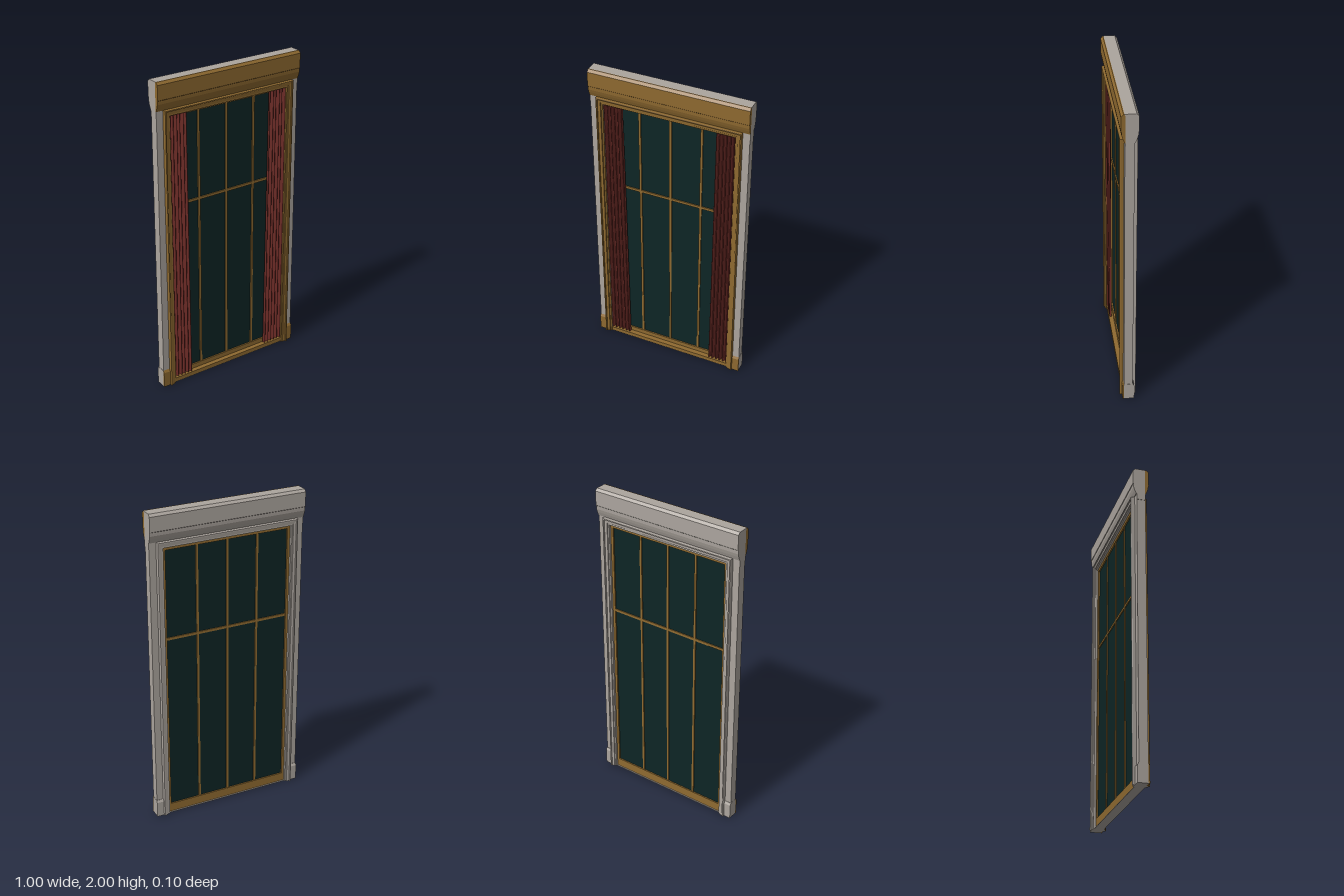
import * as THREE from 'three';

const mat = (name, color, side = THREE.FrontSide) => {
  const m = new THREE.MeshStandardMaterial({ color, side });
  m.name = name;
  return m;
};

export function createModel() {
  const wood = mat('golden wood', 0x8f6a30);
  const stone = mat('grey plaster', 0xaca59e, THREE.DoubleSide);
  const cloth = mat('red curtain', 0x6a2a25, THREE.DoubleSide);
  const glassMat = mat('dark glass', 0x0d2525);
  const model = new THREE.Group();
  model.name = 'window';

  const add = (name, geo, material) => {
    const mesh = new THREE.Mesh(geo, material);
    mesh.name = name;
    model.add(mesh);
    return mesh;
  };
  // Box given by its limits
  const box = (name, m, x0, x1, y0, y1, z0, z1) => {
    const g = new THREE.BoxGeometry(x1 - x0, y1 - y0, z1 - z0);
    g.translate((x0 + x1) / 2, (y0 + y1) / 2, (z0 + z1) / 2);
    return add(name, g, m);
  };
  // Side profile of [z, y] points drawn out along x
  const moulding = (name, m, points, x0, x1) => {
    const shape = new THREE.Shape(points.map(([z, y]) => new THREE.Vector2(-z, y)));
    const g = new THREE.ExtrudeGeometry(shape, { depth: x1 - x0, bevelEnabled: false });
    g.rotateY(Math.PI / 2).translate(x0, 0, 0);
    return add(name, g, m);
  };

  // Lintel: wooden face on a plaster body
  const edge = [[0.036, 2], [0.05, 1.985], [0.05, 1.895], [0.047, 1.892], [0.047, 1.885],
    [0.046, 1.87], [0.04, 1.85], [0.03, 1.825]];
  moulding('lintelFace', wood, [[0.031, 2], ...edge, [0.026, 1.825], [0.026, 1.99], [0.031, 1.999]], -0.5, 0.5);
  moulding('lintelBody', stone,
    [[0.031, 2], ...edge.map(([z, y]) => [-z, y]), [0.026, 1.825], [0.026, 1.99]], -0.5, 0.5);

  // Wall jambs, header and sole
  const X = 0.415, Y = 1.785;
  box('header', stone, -0.5, 0.5, Y, 1.83, -0.026, 0.028);
  box('sole', stone, -0.5, 0.5, 0, 0.004, -0.03, 0.03);
  const base = [[0.036, 0], [0.036, 0.1], [0.028, 0.115]];
  for (const s of [-1, 1]) {
    const [a, b] = s > 0 ? [X, 0.498] : [-0.498, -X];
    box('jamb', stone, a, b, 0.002, Y, -0.026, 0.028);
    const [c, d] = s > 0 ? [0.45, 0.5] : [-0.5, -0.45];
    moulding('plinthFace', wood, [...base, [0.027, 0.115], [0.027, 0]], c, d);
    moulding('plinthBody', stone, [[0.027, 0], ...base.map(([z, y]) => [-z, y]), [0.027, 0.115]], c, d);
  }

  // Stepped architrave: [outward offset, depth] swept round the opening with mitres
  const steps = [[0, 0], [0, 0.036], [0.01, 0.036], [0.012, 0.042], [0.029, 0.044], [0.031, 0.05],
    [0.038, 0.05], [0.04, 0.046], [0.04, 0.025]];
  const architrave = (name, m, dir) => {
    const ring = (i, k) => {
      const [o, z] = steps[i];
      const sx = k < 2 ? -1 : 1;
      return [sx * (X + o), k === 0 || k === 3 ? 0 : Y + o, z * dir];
    };
    const pos = [];
    for (let k = 0; k < 3; k++) {
      for (let i = 0; i < steps.length - 1; i++) {
        const a = ring(i, k), b = ring(i + 1, k), c = ring(i, k + 1), d = ring(i + 1, k + 1);
        pos.push(...(dir > 0 ? [a, c, b, c, d, b] : [a, b, c, c, b, d]).flat());
      }
    }
    const g = new THREE.BufferGeometry();
    g.setAttribute('position', new THREE.Float32BufferAttribute(pos, 3));
    g.computeVertexNormals();
    add(name, g, m);
    // Closed feet
    for (const s of [-1, 1]) {
      const foot = new THREE.Shape(steps.map(([o, z]) => new THREE.Vector2(s * (X + o), z * dir)));
      add(name + 'Foot', new THREE.ShapeGeometry(foot).rotateX(Math.PI / 2), stone);
    }
  };
  architrave('frontArchitrave', wood, 1);
  architrave('backArchitrave', stone, -1);

  // Sash frame, sill and glazing bars
  const zb = -0.022, zf = 0.002;
  box('bottomRail', wood, -X, X, 0.004, 0.06, zb, zf);
  box('topRail', wood, -X, X, 1.765, Y + 0.002, zb, zf);
  box('sashStileLeft', wood, 0.398, X, 0.06, 1.765, zb, zf);
  box('sashStileRight', wood, -X, -0.398, 0.06, 1.765, zb, zf);
  box('sill', wood, -X, X, 0.004, 0.03, zf, 0.032);
  for (const x of [-0.197, 0, 0.197]) box('verticalBar', wood, x - 0.007, x + 0.007, 0.06, 1.765, zb + 0.003, zf - 0.002);
  box('crossBar', wood, -0.398, 0.398, 1.197, 1.213, zb + 0.003, zf - 0.002);
  box('glass', glassMat, -0.4, 0.4, 0.058, 1.767, -0.013, -0.007);

  // Pleated curtains, slightly wider towards the hem
  for (const s of [-1, 1]) {
    const g = new THREE.PlaneGeometry(1, 1, 60, 8);
    const p = g.attributes.position;
    for (let i = 0; i < p.count; i++) {
      const u = p.getX(i) + 0.5, v = p.getY(i) + 0.5;
      const width = 0.122 + 0.012 * (1 - v);
      const fold = Math.sin(u * Math.PI * 11 + 0.5 * (1 - v)) + 0.25 * Math.sin(u * 17 + v);
      p.setXYZ(i, s * (X - u * width), 0.035 + v * 1.755, 0.02 + 0.009 * fold);
    }
    // Keep the +z side as the front on the mirrored copy
    if (s > 0) g.setIndex(Array.from(g.index.array).reverse());
    g.computeVertexNormals();
    add(s > 0 ? 'leftCurtain' : 'rightCurtain', g, cloth);
  }
  return model;
}
